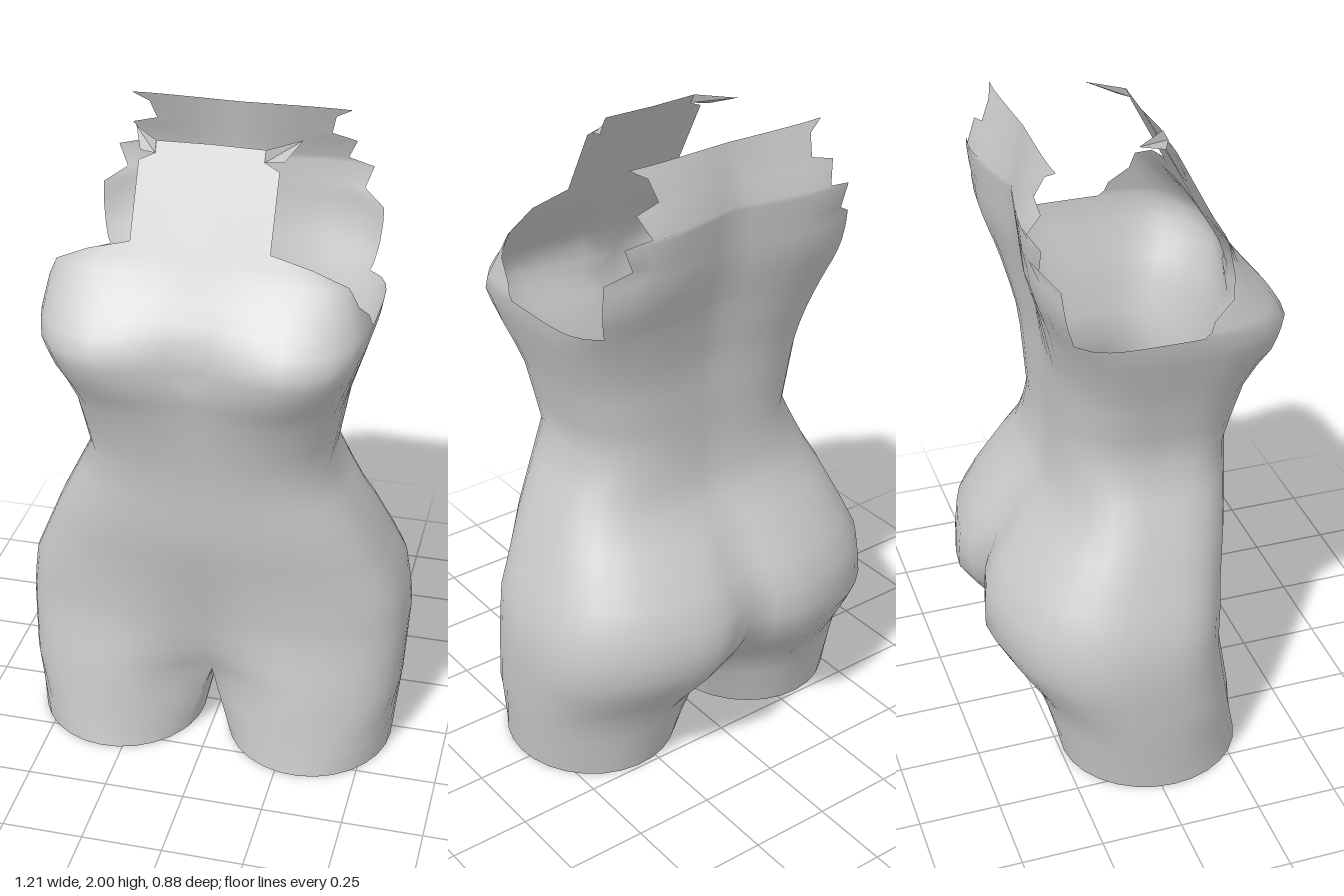
import * as THREE from 'three';
import { mergeVertices } from 'three/addons/utils/BufferGeometryUtils.js';

// Body measurements as [height, value] key points
const halfWidth = [[0.22, 0.595], [0.45, 0.605], [0.58, 0.585], [0.8, 0.49], [1.05, 0.365], [1.25, 0.4], [1.5, 0.478], [1.6, 0.462], [2, 0.462]];
const middle = [[0.22, 0], [0.45, -0.03], [0.8, 0.02], [1.05, 0.06], [1.3, 0.06], [1.5, 0.03], [2, 0]];
const front = [[0.22, 0.305], [0.45, 0.258], [0.63, 0.268], [0.8, 0.297], [1.07, 0.322], [1.25, 0.378], [1.38, 0.443], [1.47, 0.453], [1.55, 0.4], [1.66, 0.3], [2, 0.12]];
const frontDip = [[0.22, 0.18], [0.33, 0.1], [0.45, 0.05], [0.65, 0.01], [0.8, 0], [1.1, 0], [1.25, 0.02], [1.45, 0.075], [1.66, 0.005], [2, 0.01]];
const frontPeak = [[0.22, 0.27], [0.6, 0.2], [1, 0.2], [1.2, 0.27], [2, 0.27]];
const frontSquare = [[0.22, 3.1], [0.45, 3.3], [0.8, 3.2], [1.05, 3.2], [1.3, 3.3], [1.45, 4.5], [2, 4.5]];
const back = [[0.22, -0.32], [0.42, -0.445], [0.57, -0.44], [0.66, -0.39], [0.8, -0.29], [0.87, -0.235], [1, -0.2], [1.3, -0.215], [1.5, -0.26], [1.65, -0.305], [1.82, -0.325], [2, -0.245]];
const backDip = [[0.22, 0.15], [0.35, 0.09], [0.5, 0.065], [0.7, 0.04], [0.85, 0.01], [1.2, 0.01], [1.65, 0.05], [1.82, 0.05], [2, 0.01]];
const backPeak = [[0.22, 0.26], [0.5, 0.14], [0.8, 0.14], [1, 0.2], [2, 0.28]];
const backSquare = [[0.22, 2.5], [0.5, 2.6], [1.05, 3], [1.4, 3.3], [1.5, 3.8], [1.6, 6], [2, 6.5]];

// Heights of the body loops, from crotch to armpit
const bodyLevels = [0.22, 0.28, 0.35, 0.43, 0.5, 0.58, 0.66, 0.73, 0.8, 0.87, 0.95, 1.05, 1.15, 1.25, 1.32, 1.38, 1.43, 1.47, 1.515];

// Torn edges of the upper panels as [height, half width]
const frontEdge = [[1.53, 0.4725], [1.56, 0.467], [1.61, 0.448], [1.67, 0.42], [1.72, 0.32], [1.75, 0.2], [1.85, 0.2], [1.95, 0.2], [1.97, 0.155], [2, 0.155]];
const backEdge = [[1.53, 0.41], [1.57, 0.42], [1.6, 0.425], [1.65, 0.43], [1.7, 0.43], [1.74, 0.365], [1.81, 0.39], [1.825, 0.31], [1.89, 0.34], [1.91, 0.265], [1.97, 0.28], [2, 0.33]];

const COLS = 24, INNER = 8, CROTCH = 0.22, CHEST = 1.515;
const FRONT_END = 10, BACK_START = 18;

function at(keys, y) {
  for (let i = 1; i < keys.length; i++) {
    const [y0, a] = keys[i - 1], [y1, b] = keys[i];
    if (y <= y1) return a + (b - a) * Math.max(0, (y - y0) / (y1 - y0));
  }
  return keys[keys.length - 1][1];
}

// Squared oval with a groove in the centre line
function depthAt(x, y, isFront, oval) {
  const tip = at(isFront ? front : back, y), mid = at(middle, y);
  const n = at(isFront ? frontSquare : backSquare, y);
  const k = oval ?? Math.pow(Math.max(0, 1 - Math.pow(x / at(halfWidth, y), n)), 1 / n);
  const t = Math.max(0, 1 - x / at(isFront ? frontPeak : backPeak, y));
  const dip = at(isFront ? frontDip : backDip, y) * Math.pow(t, 1.2);
  return mid + (tip - mid) * k - (isFront ? dip : -dip);
}

// Point on the left half, column 0 at front centre to COLS at back centre
function bodyPoint(col, y) {
  const a = Math.PI * col / COLS, isFront = col <= COLS / 2;
  const s = Math.sin(a), c = Math.abs(Math.cos(a));
  const n = at(isFront ? frontSquare : backSquare, y);
  const r = 1 / Math.pow(Math.pow(s, n) + Math.pow(c, n), 1 / n);
  const x = col === 0 || col === COLS ? 0 : at(halfWidth, y) * r * s;
  return [x, y, depthAt(x, y, isFront, r * c)];
}

function panelRow(first, last, y, width, isFront) {
  const edgeX = bodyPoint(isFront ? last : first, y)[0], row = [];
  for (let c = first; c <= last; c++) {
    const x = bodyPoint(c, y)[0] / edgeX * width;
    row.push([x, y, depthAt(x, y, isFront)]);
  }
  return row;
}

function bodyRow(first, last, y) {
  const row = [];
  for (let c = first; c <= last; c++) row.push(bodyPoint(c, y));
  return row;
}

// Leg loop blends from the hip and crotch line to a round thigh end
function legRow(t) {
  const row = [], top = bodyRow(0, COLS, CROTCH);
  const zBack = top[COLS][2], zFront = top[0][2];
  for (let i = 1; i <= INNER; i++) top.push([0, CROTCH, zBack + (zFront - zBack) * i / INNER]);
  top.forEach((p, i) => {
    const deg = i <= COLS ? -60 + 300 * i / COLS : 240 + 60 * (i - COLS) / INNER;
    const a = deg * Math.PI / 180;
    const end = [0.31 + 0.265 * Math.sin(a), 0, 0.04 + 0.28 * Math.cos(a)];
    row.push(p.map((v, k) => end[k] + (v - end[k]) * t));
  });
  return row;
}

// Adds a grid of quads and its mirror image
function addGrid(out, rows) {
  const tri = (a, b, c) => {
    out.push(...a, ...b, ...c);
    for (const p of [a, c, b]) out.push(p[0] === 0 ? 0 : -p[0], p[1], p[2]);
  };
  for (let j = 0; j + 1 < rows.length; j++) {
    for (let i = 0; i + 1 < rows[j].length; i++) {
      const a = rows[j][i], b = rows[j][i + 1], c = rows[j + 1][i + 1], d = rows[j + 1][i];
      tri(a, b, c);
      tri(a, c, d);
    }
  }
}

export function createModel() {
  const model = new THREE.Group();
  model.name = 'torsoShell';
  const grey = new THREE.MeshStandardMaterial({ color: 0xc8c8c8, side: THREE.DoubleSide });
  grey.name = 'light grey';
  const out = [];

  // Thighs
  addGrid(out, [0, 0.33, 0.67, 1].map(legRow));

  // Hips, waist and chest
  addGrid(out, bodyLevels.map((y) => bodyRow(0, COLS, y)));

  // Upper front and back panels above the open armholes
  addGrid(out, [bodyRow(0, FRONT_END, CHEST),
    ...frontEdge.map(([y, w]) => panelRow(0, FRONT_END, y, w, true))]);
  addGrid(out, [bodyRow(BACK_START, COLS, CHEST),
    ...backEdge.map(([y, w]) => panelRow(BACK_START, COLS, y, w, false))]);

  let shell = new THREE.BufferGeometry();
  shell.setAttribute('position', new THREE.Float32BufferAttribute(out, 3));
  shell = mergeVertices(shell, 1e-4);
  shell.computeVertexNormals();
  const body = new THREE.Mesh(shell, grey);
  body.name = 'body';
  model.add(body);

  // Pointed strap remnants at the top of the front panel
  const points = [];
  addGrid(points, [
    [[0.155, 1.97, 0.135], [0.205, 1.965, 0.11]],
    [[0.155, 2, 0.118], [0.24, 2, 0.02]],
  ]);
  const strap = new THREE.BufferGeometry();
  strap.setAttribute('position', new THREE.Float32BufferAttribute(points, 3));
  strap.computeVertexNormals();
  const straps = new THREE.Mesh(strap, grey);
  straps.name = 'strapEnds';
  model.add(straps);

  return model;
}
